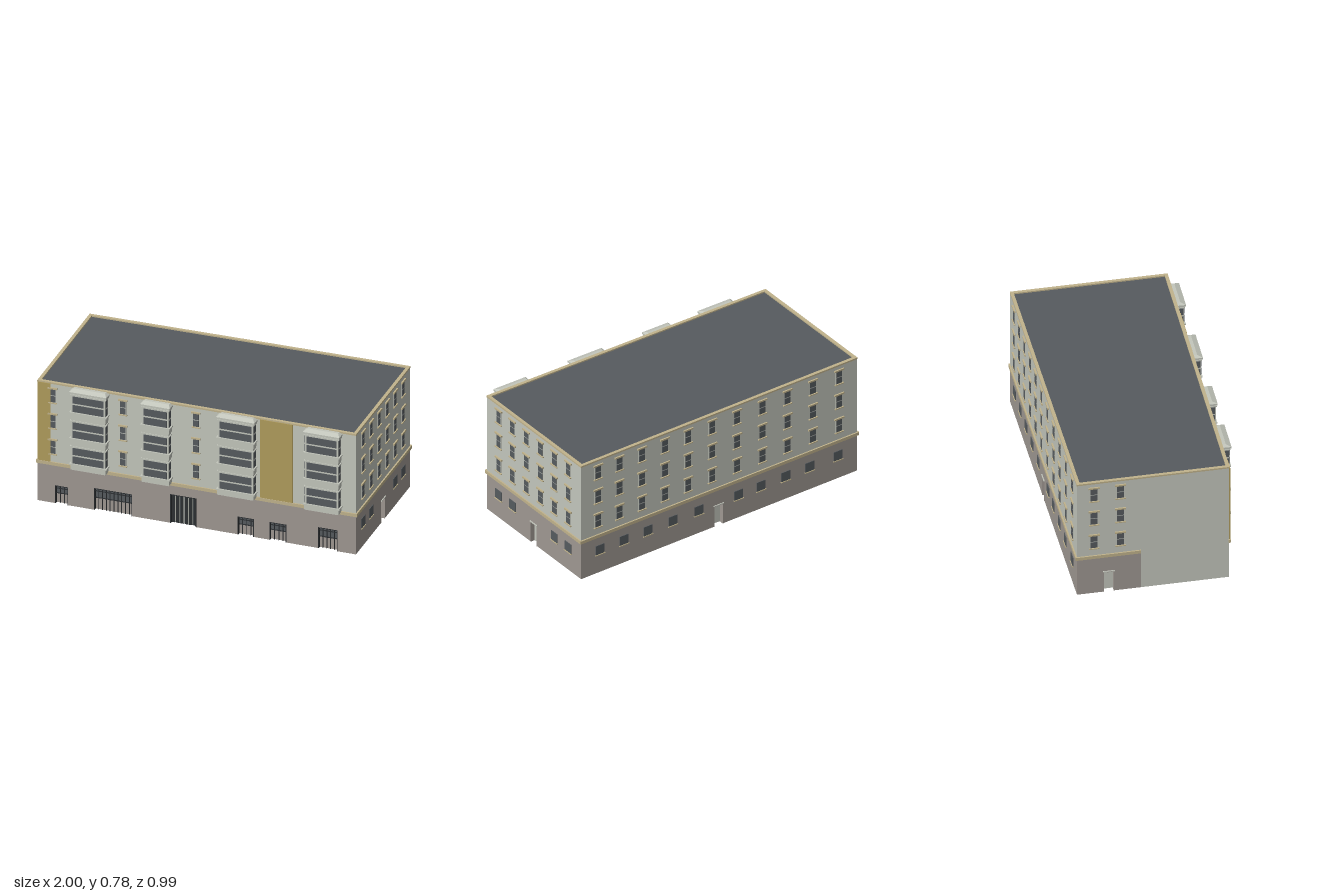
import * as THREE from 'three';

const D = THREE.DoubleSide;
const mat = (name, color, side = THREE.FrontSide) => {
  const m = new THREE.MeshStandardMaterial({ color, side });
  m.name = name;
  return m;
};
const M = {
  wall: mat('pale wall', 0xc3c6bc, D),
  base: mat('taupe base', 0x9f9892, D),
  trim: mat('beige trim', 0xc1b38c),
  ochre: mat('ochre panel', 0xb09c5c),
  glass: mat('slate glass and roof', 0x565b5f, D),
  frame: mat('dark frame', 0x2c2f32),
};

const H = 0.775, BASE = 0.25, LINING = 0.012;
// footprint corners [x, z]: front left of picture, then counter-clockwise seen from above
const P = [[-0.972, 0.44], [0.988, 0.438], [0.972, -0.485], [-0.99, -0.455]];
const ROWS = [0.317, 0.483, 0.648];

function add(parent, name, geometry, material) {
  const mesh = new THREE.Mesh(geometry, material);
  mesh.name = name;
  parent.add(mesh);
  return mesh;
}

// box given by its limits in the wall's own frame
function box(parent, name, m, x0, x1, y0, y1, z0, z1) {
  const mesh = add(parent, name, new THREE.BoxGeometry(x1 - x0, y1 - y0, z1 - z0), m);
  mesh.position.set((x0 + x1) / 2, (y0 + y1) / 2, (z0 + z1) / 2);
  return mesh;
}

function polygon(points) {
  return new THREE.Shape(points.map(([x, y]) => new THREE.Vector2(x, y)));
}

// wall outline from u = 0 to len with door notches cut up from the ground
function notched(len, top, openings) {
  const pts = [[0, 0]];
  for (const [a, b, h] of openings) pts.push([a, 0], [a, h], [b, h], [b, 0]);
  pts.push([len, 0], [len, top], [0, top]);
  return polygon(pts);
}

// one side of the building: x runs along the wall, z points outward
function makeWall(name, i, openings, baseLen) {
  const a = P[i], b = P[(i + 1) % 4];
  const dx = b[0] - a[0], dz = b[1] - a[1], len = Math.hypot(dx, dz);
  const g = new THREE.Group();
  g.name = name;
  g.position.set(a[0], 0, a[1]);
  g.rotation.y = Math.atan2(-dz, dx);
  const bl = baseLen ? len * baseLen : len;
  const lining = add(g, 'wallLining', new THREE.ShapeGeometry(notched(len, H - 0.01, openings)), M.wall);
  lining.position.z = -LINING;
  const shell = add(g, 'baseWall', new THREE.ExtrudeGeometry(notched(bl, BASE, openings),
    { depth: 0.01, bevelEnabled: false }), M.base);
  shell.position.z = -0.01;
  const upper = [[0, BASE], [bl, BASE], [len, BASE], [len, H], [0, H]];
  if (bl < len) upper.splice(2, 1, [bl, 0], [len, 0], [len, BASE]);
  add(g, 'upperWall', new THREE.ShapeGeometry(polygon(upper)), M.wall);
  box(g, 'cornice', M.trim, -0.008, bl + (bl < len ? 0 : 0.008), 0.245, 0.265, -0.004, 0.009);
  return { g, len };
}

// sash window with lintel and sill
function sashWindow(g, u, y, w) {
  box(g, 'windowFrame', M.wall, u - w / 2 - 0.003, u + w / 2 + 0.003, y, y + 0.086, 0, 0.002);
  box(g, 'lowerPane', M.glass, u - w / 2, u + w / 2, y + 0.002, y + 0.041, 0, 0.004);
  box(g, 'upperPane', M.glass, u - w / 2, u + w / 2, y + 0.046, y + 0.085, 0, 0.004);
  box(g, 'lintel', M.trim, u - w * 0.82, u + w * 0.82, y + 0.086, y + 0.096, 0, 0.009);
  box(g, 'sill', M.trim, u - w * 0.76, u + w * 0.76, y - 0.006, y, 0, 0.009);
}

function baseWindow(g, u) {
  box(g, 'basePane', M.glass, u - 0.031, u + 0.031, 0.125, 0.187, 0, 0.004);
  box(g, 'baseSill', M.trim, u - 0.035, u + 0.035, 0.121, 0.126, 0, 0.008);
}

// side and top faces of a recessed opening
function reveal(g, m, [a, b, h], depth) {
  box(g, 'leftReveal', m, a, a + 0.004, 0, h, -depth, 0.002);
  box(g, 'rightReveal', m, b - 0.004, b, 0, h, -depth, 0.002);
  box(g, 'topReveal', m, a, b, h - 0.004, h, -depth, 0.002);
}

function door(g, o) {
  reveal(g, M.base, o, 0.03);
  box(g, 'doorPanel', M.wall, o[0], o[1], 0.004, o[2], -0.03, -0.024);
  box(g, 'doorHead', M.wall, o[0] - 0.003, o[1] + 0.003, o[2], o[2] + 0.006, 0, 0.006);
}

function shopfront(g, o) {
  const [a, b, h] = o, mid = h * 0.52;
  reveal(g, M.frame, o, 0.024);
  box(g, 'shopGlass', M.glass, a, b, mid, h, -0.024, -0.018);
  box(g, 'shopApron', M.base, a, b, 0, mid, -0.024, -0.018);
  const n = Math.round((b - a) / 0.024);
  for (let i = 1; i < n; i++) {
    const u = a + (b - a) * i / n;
    box(g, 'shopPost', M.frame, u - 0.0018, u + 0.0018, 0, h, -0.018, -0.012);
  }
  for (const y of [mid, h - 0.025]) box(g, 'shopRail', M.frame, a, b, y, y + 0.004, -0.018, -0.012);
}

function gate(g, o) {
  const [a, b, h] = o;
  reveal(g, M.frame, o, 0.024);
  box(g, 'gateLeaf', M.glass, a, b, 0, h, -0.024, -0.018);
  for (let i = 0; i < 6; i++) {
    const u = a + (b - a) * (i + 0.5) / 6;
    box(g, 'gateFrame', M.frame, u - 0.009, u + 0.009, 0, h, -0.018, -0.014);
    box(g, 'gateStripe', M.wall, u + 0.0095, u + 0.0135, 0.004, h - 0.012, -0.018, -0.015);
  }
}

// projecting bay, three storeys of windows and a hipped cap
function bay(g, a, b) {
  const bayGroup = new THREE.Group();
  bayGroup.name = 'bay';
  g.add(bayGroup);
  const B = (...args) => box(bayGroup, ...args);
  B('bayBody', M.wall, a + 0.01, b - 0.01, 0.257, 0.757, 0, 0.044);
  for (const y of [0.298, 0.463, 0.63]) {
    B('bayApron', M.wall, a + 0.006, b - 0.006, y - 0.038, y - 0.006, 0, 0.046);
    B('baySill', M.wall, a, b, y - 0.008, y, 0, 0.051);
    B('bayHead', M.wall, a + 0.004, b - 0.004, y + 0.108, y + 0.114, 0, 0.048);
    for (const p of [y + 0.003, y + 0.058]) {
      B('bayPane', M.glass, a + 0.02, b - 0.02, p, p + 0.044, 0.04, 0.047);
      B('baySidePane', M.glass, a + 0.007, b - 0.007, p, p + 0.044, 0.01, 0.039);
    }
  }
  B('bayEave', M.wall, a, b, 0.75, 0.761, 0, 0.053);
  const cap = B('bayCap', M.wall, a, b, 0.761, 0.773, 0, 0.053);
  const p = cap.geometry.attributes.position;
  for (let i = 0; i < p.count; i++) {
    if (p.getY(i) > 0) {
      p.setX(i, p.getX(i) * 0.84);
      if (p.getZ(i) > 0) p.setZ(i, -0.004);
    }
  }
  const flat = cap.geometry.toNonIndexed();
  flat.computeVertexNormals();
  cap.geometry = flat;
}

export function createModel() {
  const model = new THREE.Group();
  model.name = 'apartmentBuilding';

  // street front
  const X = x => x - P[0][0];
  const shops = [[-0.865, -0.785, 0.115], [-0.625, -0.39, 0.14], [-0.155, 0.005, 0.185],
    [0.26, 0.36, 0.115], [0.455, 0.56, 0.115], [0.755, 0.875, 0.135]].map(([a, b, h]) => [X(a), X(b), h]);
  const front = makeWall('frontWall', 0, shops);
  shops.forEach((o, i) => (i === 2 ? gate : shopfront)(front.g, o));
  for (const [a, b] of [[-0.76, -0.53], [-0.322, -0.14], [0.145, 0.382], [0.68, 0.905]]) bay(front.g, X(a), X(b));
  for (const x of [-0.879, -0.446, 0.004]) for (const y of ROWS) sashWindow(front.g, X(x), y, 0.034);
  for (const [a, b] of [[-0.972, -0.892], [0.4, 0.6]])
    box(front.g, 'ochrePanel', M.ochre, X(a), X(b), 0.265, 0.768, 0, 0.006);

  // right-hand side
  const cols = [0.32, 0.184, 0.047, -0.089, -0.225, -0.361].map(z => P[1][1] - z);
  const rightDoor = [[0.428, 0.493, 0.138]];
  const right = makeWall('sideWall', 1, rightDoor);
  door(right.g, rightDoor[0]);
  cols.forEach((u, i) => {
    for (const y of ROWS) sashWindow(right.g, u, y, 0.04);
    if (i < 2 || i > 3) baseWindow(right.g, u);
  });

  // rear
  const L = P[2][0] - P[3][0];
  const backDoor = [[0.498 * L - 0.033, 0.498 * L + 0.033, 0.138]];
  const back = makeWall('backWall', 2, backDoor);
  door(back.g, backDoor[0]);
  for (const f of [0.061, 0.138, 0.22, 0.303, 0.387, 0.474, 0.564, 0.656, 0.747, 0.839, 0.934])
    for (const y of ROWS) sashWindow(back.g, f * L, y, 0.04);
  for (const f of [0.068, 0.155, 0.242, 0.332, 0.426, 0.57, 0.651, 0.741, 0.828, 0.93]) baseWindow(back.g, f * L);

  // party wall side, finished only near the rear corner
  const leftDoor = [[0.155, 0.22, 0.138]];
  const left = makeWall('partyWall', 3, leftDoor, 0.42);
  door(left.g, leftDoor[0]);
  for (const u of [0.1, 0.255]) for (const y of ROWS) sashWindow(left.g, u, y, 0.04);
  model.add(front.g, right.g, back.g, left.g);

  // parapet rim and roof
  const ring = d => P.map(([x, z]) => [x - Math.sign(x) * d, -(z - Math.sign(z) * d)]);
  const rim = polygon(ring(-0.002));
  rim.holes.push(polygon(ring(0.018)));
  const parapet = add(model, 'parapetRim',
    new THREE.ExtrudeGeometry(rim, { depth: 0.01, bevelEnabled: false }), M.trim);
  parapet.rotation.x = -Math.PI / 2;
  parapet.position.y = H - 0.009;
  const roof = add(model, 'roof', new THREE.ShapeGeometry(polygon(ring(0.01))), M.glass);
  roof.rotation.x = -Math.PI / 2;
  roof.position.y = H - 0.007;
  return model;
}
